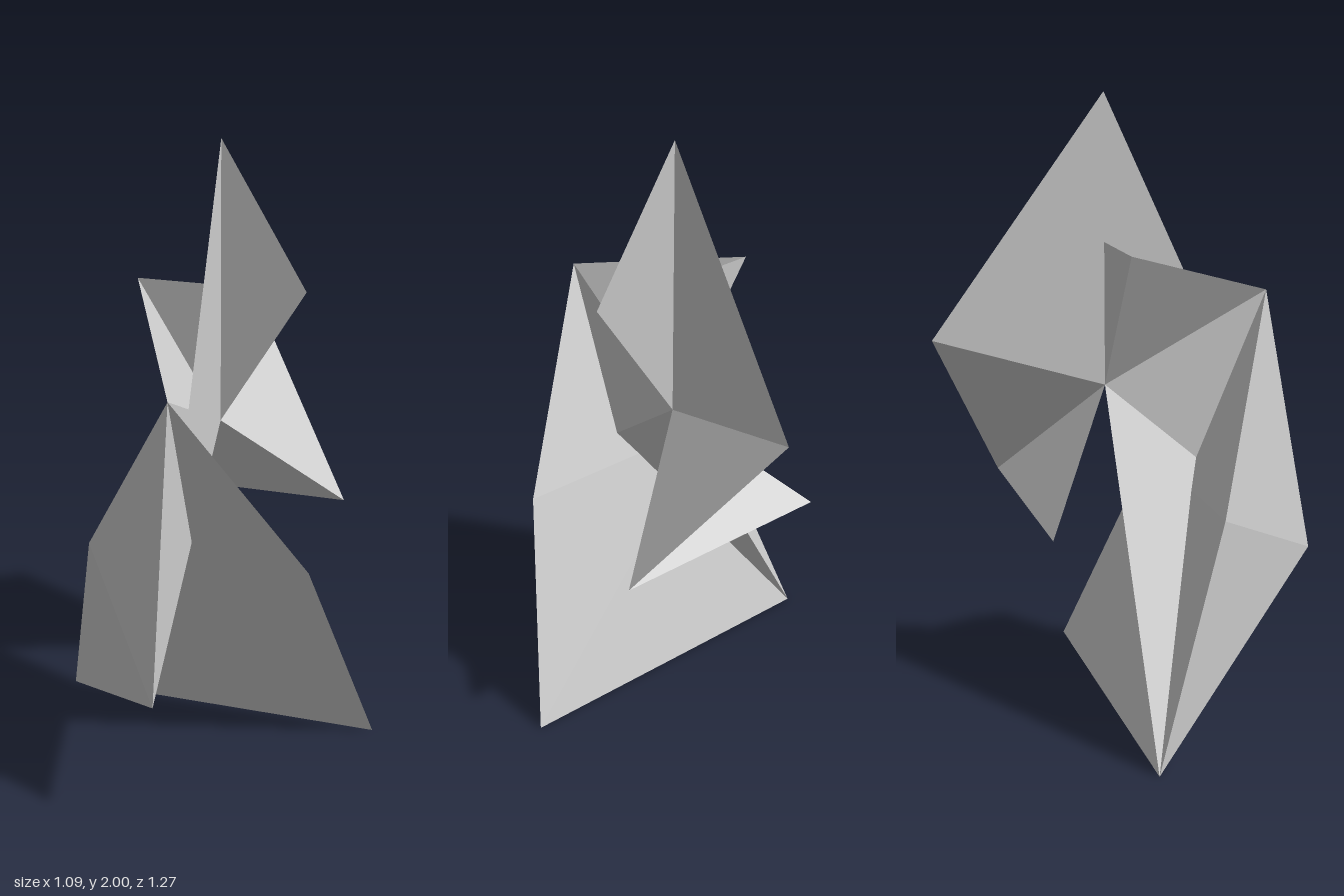
import * as THREE from 'three';

const UNIT = 1 / 11;
const material = new THREE.MeshStandardMaterial({ color: 0xcccccc, flatShading: true, side: THREE.DoubleSide });

// Corner points of the folded sheet, in grid units
const top = [0, 22, -1], hub = [0, 12, -1], back = [0, 14, -7];
const chest = [0, 15, 5], knee = [0, 5, 7];
const neck = [0, 13.9, 2.81]; // where the head's front edge meets the chest fold
const side = (s) => ({ wing: [3 * s, 17, -1], tail: [4 * s, 8, -4], hip: [4 * s, 8, 2], foot: [6 * s, 0, -1] });
const L = side(1), R = side(-1);

// Flat or folded facets fanned out from the first point
function fan(name, origin, ...rim) {
  const points = [];
  for (let i = 0; i < rim.length - 1; i++) points.push(...origin, ...rim[i], ...rim[i + 1]);
  const geometry = new THREE.BufferGeometry();
  geometry.setAttribute('position', new THREE.Float32BufferAttribute(points, 3));
  geometry.scale(UNIT, UNIT, UNIT);
  geometry.computeVertexNormals();
  const mesh = new THREE.Mesh(geometry, material);
  mesh.name = name;
  return mesh;
}

export function createModel() {
  const group = new THREE.Group();
  group.name = 'foldedFigure';
  group.add(
    // Upright sheet in the middle plane
    fan('middleSheet', hub, knee, chest, neck, top, back),
    // Crosswise head sheet and the fold running forward to the chest
    fan('headSheet', hub, top, L.wing, R.wing),
    fan('shoulderFold', hub, R.wing, chest),
    // Tail folded down at the back
    fan('tailFold', hub, back, L.tail, R.tail),
    // Inner fold from the hub to the knee and right foot
    fan('innerFold', hub, R.foot, knee),
    // Sloping skirt: straight front layer and bent back layer
    fan('skirtFront', chest, R.foot, L.foot),
    fan('skirtBackUpper', chest, R.hip, L.hip),
    fan('skirtBackLower', R.hip, R.foot, L.foot, L.hip),
    // Raised flap on the right front
    fan('frontFlap', knee, chest, R.hip, R.foot)
  );
  return group;
}
